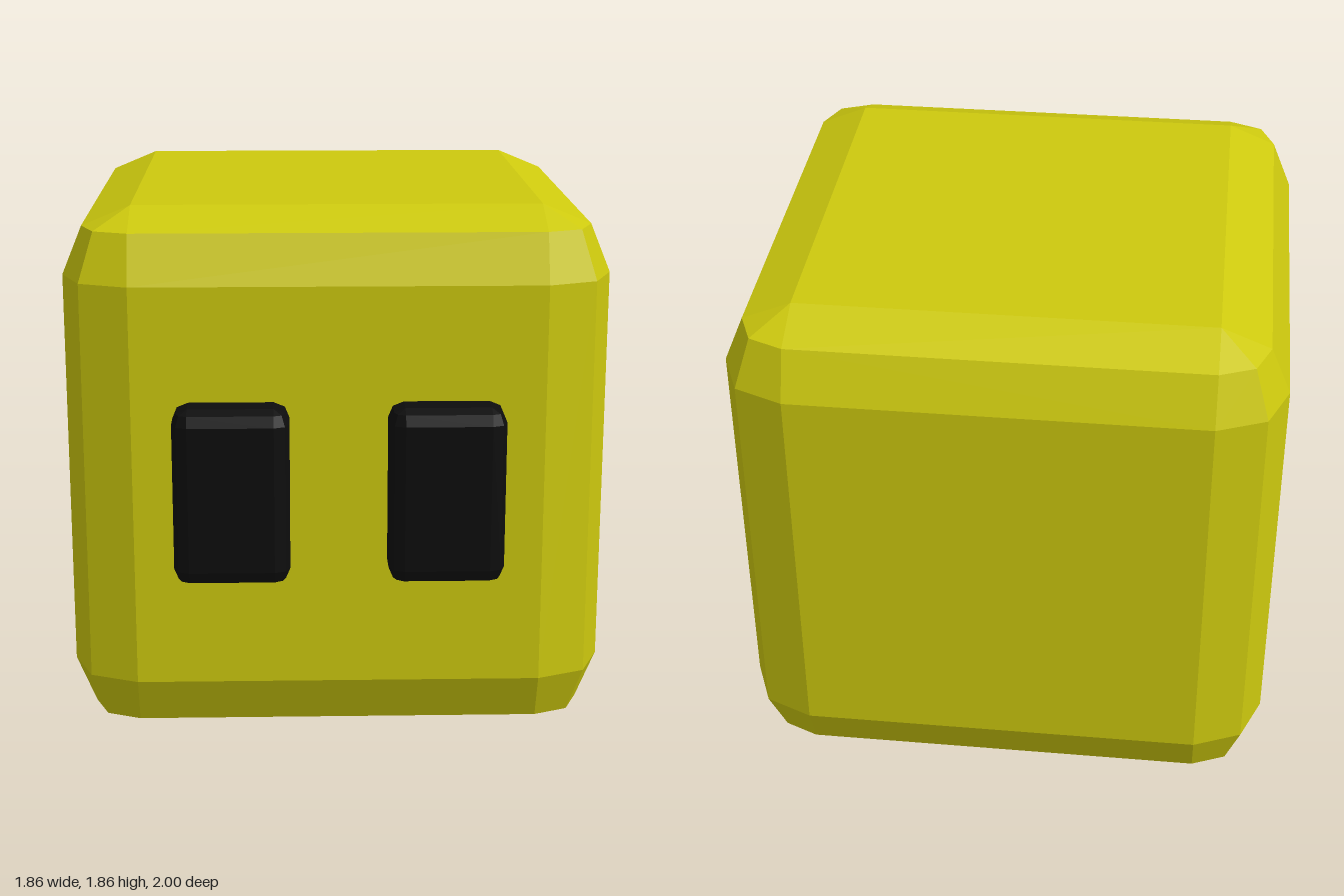
import * as THREE from 'three';
import { ConvexGeometry } from 'three/addons/geometries/ConvexGeometry.js';

// Box with two-step bevelled edges: each corner is an eighth of a coarse sphere.
function bevelledBox(w, h, d, r) {
  const points = [];
  for (const sx of [-1, 1]) for (const sy of [-1, 1]) for (const sz of [-1, 1]) {
    for (const lat of [0, Math.PI / 4, Math.PI / 2]) {
      for (const lon of [0, Math.PI / 4, Math.PI / 2]) {
        if (lat === Math.PI / 2 && lon > 0) continue; // single pole point
        points.push(new THREE.Vector3(
          sx * (w / 2 - r + r * Math.cos(lat) * Math.cos(lon)),
          sy * (h / 2 - r + r * Math.sin(lat)),
          sz * (d / 2 - r + r * Math.cos(lat) * Math.sin(lon))
        ));
      }
    }
  }
  return new ConvexGeometry(points);
}

export function createModel() {
  const model = new THREE.Group();
  model.name = 'cubeHead';
  const yellow = new THREE.MeshStandardMaterial({ color: 0xcdc90e, flatShading: true });
  const black = new THREE.MeshStandardMaterial({ color: 0x0d0d0d, flatShading: true });

  // Head
  const head = new THREE.Mesh(bevelledBox(1.86, 1.86, 1.86, 0.235), yellow);
  head.name = 'head';
  head.position.set(0, 0.93, -0.07);
  model.add(head);

  // Eyes, set partly into the front face
  const eyeGeometry = bevelledBox(0.39, 0.605, 0.3, 0.052);
  for (const side of [-1, 1]) {
    const eye = new THREE.Mesh(eyeGeometry, black);
    eye.name = side > 0 ? 'leftEye' : 'rightEye';
    eye.position.set(side * 0.36, 0.932, 0.85);
    model.add(eye);
  }
  return model;
}
